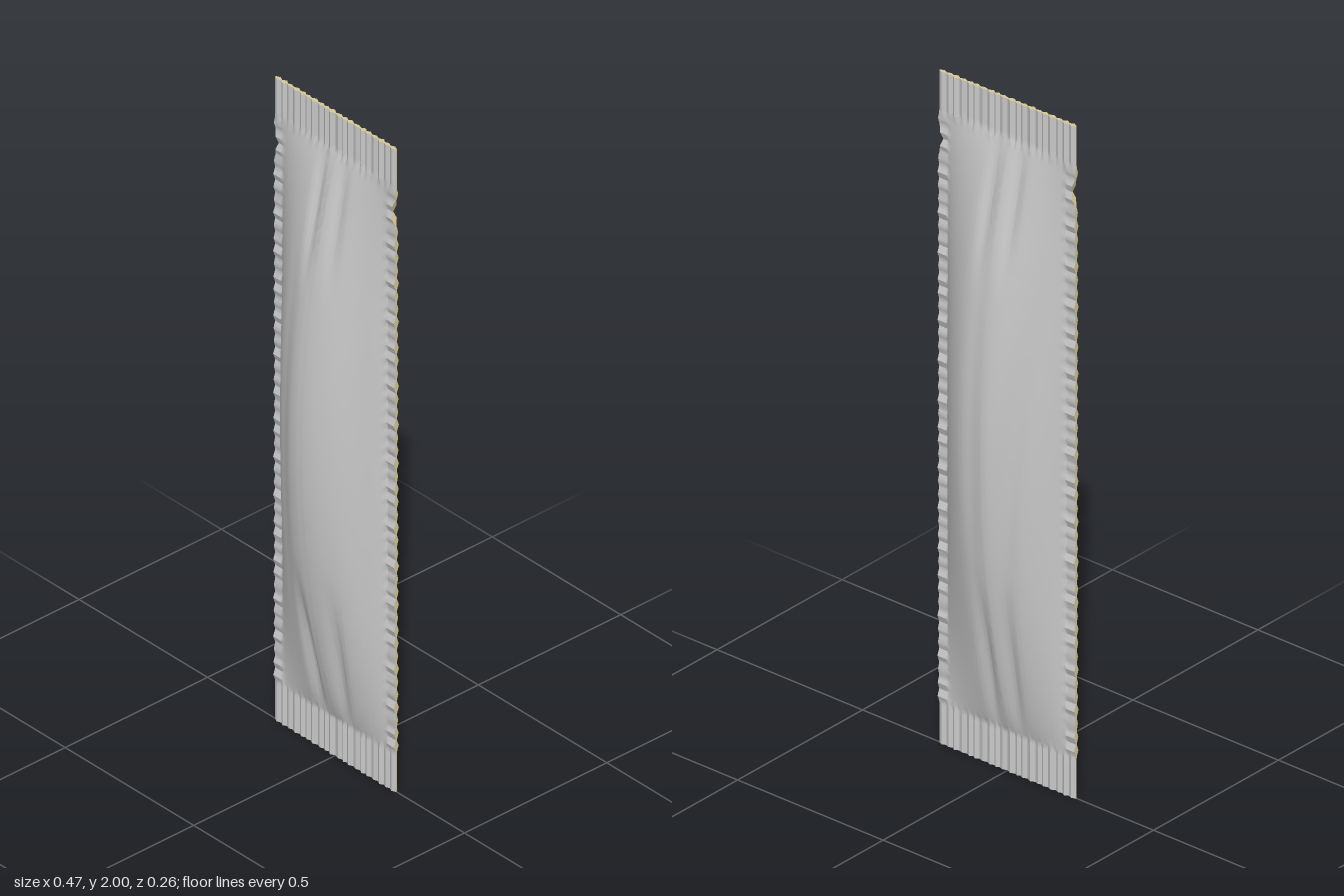
import * as THREE from 'three';
import { toCreasedNormals } from 'three/addons/utils/BufferGeometryUtils.js';

const HALF_W = 0.235, HEIGHT = 2, COLS = 80, ROWS = 200;
const BODY_W = 0.203, BODY_LOW = 0.12, BODY_HIGH = 1.885;

const gauss = (d, w) => Math.exp(-(d * d) / (w * w));
const step = (a, b, v) => THREE.MathUtils.smoothstep(v, a, b);

// Crease rows: x at the bottom, x at the top, width, depth, where it fades (0 = bottom, 1 = top, 2 = all along)
const FRONT_FOLDS = [
  [-0.04, -0.07, 0.022, 0.5, 0], [0.055, 0.13, 0.022, 0.45, 0],
  [-0.01, -0.03, 0.018, 0.4, 1], [0.1, 0.05, 0.02, 0.3, 1],
  [0.19, 0.13, 0.035, 0.12, 2], [-0.11, -0.07, 0.03, 0.06, 2],
];
const BACK_FOLDS = [
  [0.03, -0.03, 0.02, 0.45, 0], [-0.05, -0.1, 0.022, 0.4, 0],
  [-0.02, -0.06, 0.02, 0.4, 1], [0.06, 0.02, 0.02, 0.35, 1],
  [-0.02, -0.17, 0.035, 0.16, 2], [0.025, 0.015, 0.03, 0.06, 2],
];

// Triangular crimp, one rib every four grid steps, with uneven heights
function crimp(i) {
  const ridge = 1 - Math.abs((i % 4) - 2) / 2;
  const k = Math.floor(i / 4);
  return 0.0015 + 0.0075 * ridge * (0.8 + 0.2 * Math.sin(k * 2.3));
}

// Half thickness of the filled pouch
function bulge(x, y, folds) {
  const t = (y - BODY_LOW) / (BODY_HIGH - BODY_LOW);
  if (t <= 0 || t >= 1 || Math.abs(x) >= BODY_W) return 0;
  const along = Math.pow(Math.sin(Math.PI * t), 0.8);
  const across = Math.pow(Math.cos(Math.PI / 2 * x / BODY_W), 0.85);
  let dent = 0;
  for (const [x0, x1, w, depth, where] of folds) {
    const fade = where === 0 ? 1 - step(0, 0.3, t) : where === 1 ? step(0.75, 1, t) : Math.sin(Math.PI * t);
    dent += depth * fade * gauss(x - THREE.MathUtils.lerp(x0, x1, t), w);
  }
  return 0.127 * along * across * (1 - Math.min(dent, 0.7));
}

// Point on one sheet; side is 1 for the front and -1 for the back
function sheetPoint(i, j, side) {
  const u = (i / COLS) * 2 - 1;
  const y = (j / ROWS) * HEIGHT;
  let x = u * HALF_W + 0.003 * Math.sin(u * 19) * (1 - u * u);
  const endSeal = Math.max(1 - step(0.11, 0.14, y), step(1.86, 1.89, y));
  const sideSeal = step(0.195, 0.206, Math.abs(x));
  const flat = THREE.MathUtils.lerp(0.003, crimp(j), sideSeal);
  const z = THREE.MathUtils.lerp(flat, crimp(i), endSeal) + bulge(x, y, side > 0 ? FRONT_FOLDS : BACK_FOLDS);
  // Tear notch on both side edges
  x -= Math.sign(x) * 0.014 * Math.max(0, 1 - Math.abs(y - 1.8) / 0.045) * step(0.205, HALF_W, Math.abs(x));
  return [x, y, z * side];
}

function sheetGeometry(side) {
  const positions = [], index = [];
  for (let j = 0; j <= ROWS; j++)
    for (let i = 0; i <= COLS; i++) positions.push(...sheetPoint(i, j, side));
  for (let j = 0; j < ROWS; j++)
    for (let i = 0; i < COLS; i++) {
      const a = j * (COLS + 1) + i, b = a + 1, c = a + COLS + 1, d = c + 1;
      if (side > 0) index.push(a, b, d, a, d, c);
      else index.push(a, d, b, a, c, d);
    }
  const geometry = new THREE.BufferGeometry();
  geometry.setAttribute('position', new THREE.Float32BufferAttribute(positions, 3));
  geometry.setIndex(index);
  return toCreasedNormals(geometry, 0.6);
}

// Cut edge joining the two sheets all the way round
function edgeGeometry() {
  const loop = [];
  for (let i = 0; i < COLS; i++) loop.push([i, 0]);
  for (let j = 0; j < ROWS; j++) loop.push([COLS, j]);
  for (let i = COLS; i > 0; i--) loop.push([i, ROWS]);
  for (let j = ROWS; j > 0; j--) loop.push([0, j]);
  const positions = [];
  loop.forEach(([i, j], n) => {
    const [k, l] = loop[(n + 1) % loop.length];
    const af = sheetPoint(i, j, 1), ab = sheetPoint(i, j, -1);
    const bf = sheetPoint(k, l, 1), bb = sheetPoint(k, l, -1);
    positions.push(...ab, ...bb, ...bf, ...ab, ...bf, ...af);
  });
  const geometry = new THREE.BufferGeometry();
  geometry.setAttribute('position', new THREE.Float32BufferAttribute(positions, 3));
  geometry.computeVertexNormals();
  return geometry;
}

export function createModel() {
  const foil = new THREE.MeshStandardMaterial({ color: 0xc8c8c8 });
  foil.name = 'silver foil';
  const paper = new THREE.MeshStandardMaterial({ color: 0xd6c894 });
  paper.name = 'tan cut edge';

  const group = new THREE.Group();
  group.name = 'sachet';
  const add = (name, geometry, material) => {
    const mesh = new THREE.Mesh(geometry, material);
    mesh.name = name;
    group.add(mesh);
  };
  add('frontSheet', sheetGeometry(1), foil);
  add('backSheet', sheetGeometry(-1), foil);
  add('cutEdge', edgeGeometry(), paper);
  return group;
}
